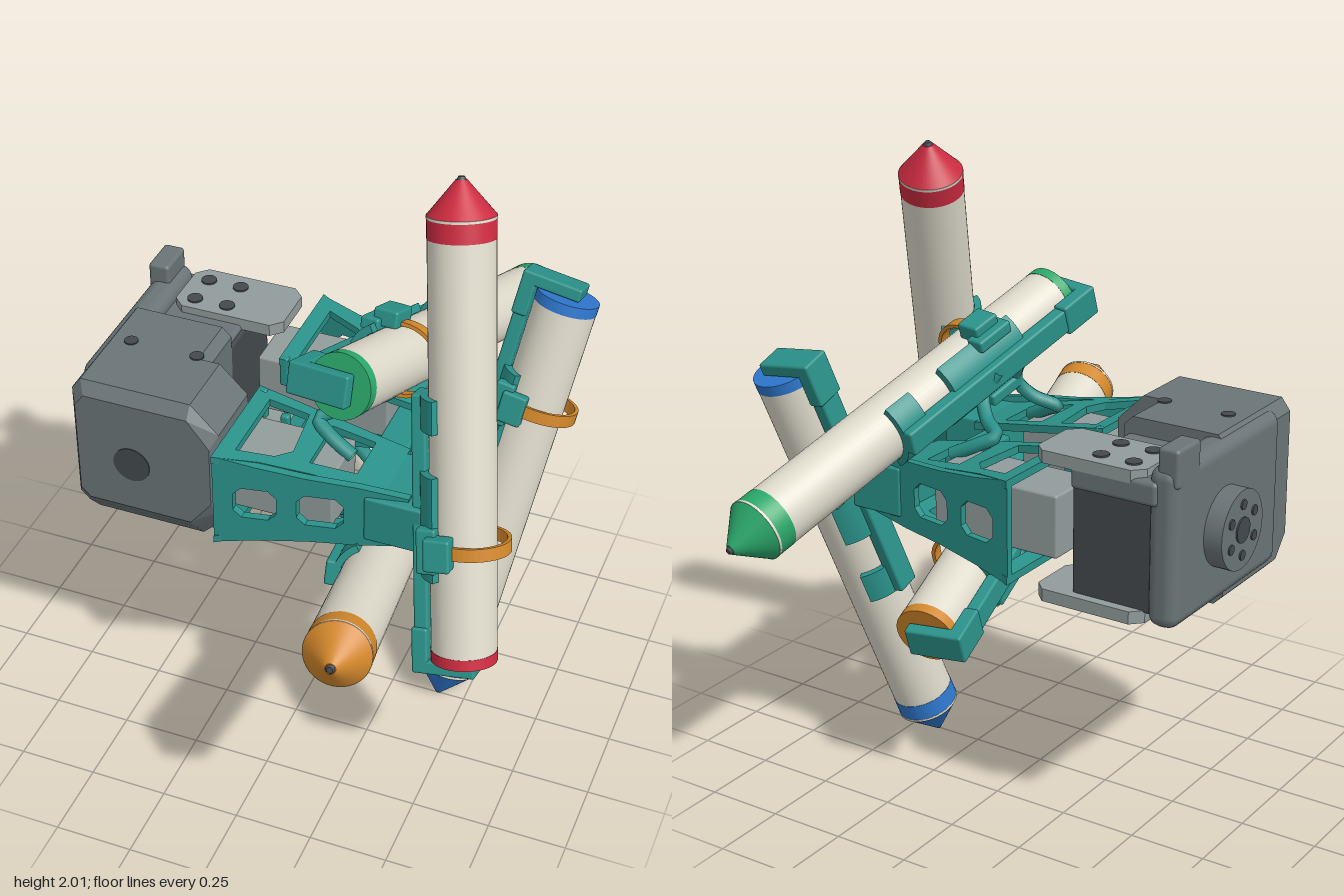
import * as THREE from 'three';
import { ConvexGeometry } from 'three/addons/geometries/ConvexGeometry.js';
import { RoundedBoxGeometry } from 'three/addons/geometries/RoundedBoxGeometry.js';

const mat = (name, color, extra = {}) => Object.assign(new THREE.MeshStandardMaterial({ color, ...extra }), { name });

export function createModel() {
  const M = {
    cream: mat('cream', 0xdedacb), red: mat('red', 0xcc2b40), blue: mat('blue', 0x2f78cf),
    green: mat('green', 0x2aa76a), orange: mat('orange', 0xd2872b), teal: mat('teal', 0x2a928a),
    grey: mat('grey', 0x6a7476), light: mat('lightGrey', 0x919c9b), dark: mat('darkGrey', 0x43494d),
  };
  const model = new THREE.Group();
  model.name = 'markerGripper';

  const add = (parent, name, geo, material, x = 0, y = 0, z = 0) => {
    const m = new THREE.Mesh(geo, material);
    m.name = name;
    m.position.set(x, y, z);
    parent.add(m);
    return m;
  };
  // box given by its limits
  const box = (parent, name, material, [x0, x1], [y0, y1], [z0, z1], r = 0.008) =>
    add(parent, name, new RoundedBoxGeometry(x1 - x0, y1 - y0, z1 - z0, 2, r), material,
      (x0 + x1) / 2, (y0 + y1) / 2, (z0 + z1) / 2);
  const poly = (pts) => pts.map(([a, b]) => new THREE.Vector2(a, b));
  const cyl = (r, h, seg = 40) => new THREE.CylinderGeometry(r, r, h, seg);

  // curved pad hugging the marker, extruded along its axis
  const saddle = (half, r0, r1, length) => {
    const s = new THREE.Shape();
    s.absarc(0, 0, r1, Math.PI - half, Math.PI + half, false);
    s.absarc(0, 0, r0, Math.PI + half, Math.PI - half, true);
    return new THREE.ExtrudeGeometry(s, { depth: length, bevelEnabled: false, curveSegments: 16 }).rotateX(-Math.PI / 2);
  };

  // one marker with its holder; y runs from the blunt end to the tip
  const addMarker = (name, color, turn, side) => {
    const base = new THREE.Vector3(0.41 + 0.22 * side, -0.36, 0.46);
    const tip = new THREE.Vector3(0.41, 1, 0);
    const L = base.distanceTo(tip);
    const Y = tip.clone().sub(base).normalize();
    const X = new THREE.Vector3(1, 0, 0).addScaledVector(Y, -Y.x).normalize();
    const g = new THREE.Group();
    g.name = name;
    g.applyMatrix4(new THREE.Matrix4().makeBasis(X, Y, X.clone().cross(Y)).setPosition(base));

    add(g, 'markerBody', cyl(0.099, L - 0.15), M.cream, 0, 0.03 + (L - 0.15) / 2);
    add(g, 'endPlug', cyl(0.1, 0.035), color, 0, 0.0175);
    add(g, 'capBand', cyl(0.1, 0.058), color, 0, L - 0.146);
    add(g, 'capRing', cyl(0.101, 0.008), M.cream, 0, L - 0.113);
    add(g, 'capCone', new THREE.CylinderGeometry(0.016, 0.1, 0.1, 40), color, 0, L - 0.059);
    add(g, 'nib', new THREE.CylinderGeometry(0.009, 0.016, 0.012, 16), M.dark, 0, L - 0.006);

    // holder: rail, pads, hook over the blunt end, clip tabs
    box(g, 'rail', M.teal, [-0.145, -0.1], [-0.04, 0.82], [-0.04, 0.04]);
    add(g, 'upperPad', saddle(1.05, 0.1, 0.122, 0.1), M.teal, 0, 0.72);
    add(g, 'middlePad', saddle(1.05, 0.1, 0.125, 0.32), M.teal, 0, 0.27);
    box(g, 'endHook', M.teal, [-0.15, 0.045], [-0.045, -0.003], [-0.05, 0.05]);
    box(g, 'hookLip', M.teal, [-0.15, -0.1], [-0.045, 0.1], [-0.05, 0.05]);
    for (const s of [-1, 1]) {
      const z = s < 0 ? [-0.135, -0.095] : [0.095, 0.15];
      box(g, 'clipTab', M.teal, [-0.08, 0.0], [0.32, 0.42], z);
      box(g, 'clipPost', M.teal, [-0.11, -0.05], [0.3, 0.44], [s * 0.1 - 0.02, s * 0.1 + 0.02]);
    }
    // strap
    const ring = new THREE.Shape();
    ring.absellipse(0.015, 0, 0.128, 0.116, 0, Math.PI * 2);
    const hole = new THREE.Path();
    hole.absellipse(0.015, 0, 0.116, 0.104, 0, Math.PI * 2);
    ring.holes.push(hole);
    const strap = new THREE.ExtrudeGeometry(ring, { depth: 0.04, bevelEnabled: false, curveSegments: 24 });
    add(g, 'strap', strap.rotateX(-Math.PI / 2), M.orange, 0, 0.35);

    const pivot = new THREE.Group();
    pivot.name = name + 'Pivot';
    pivot.position.y = 1;
    pivot.rotation.x = turn * Math.PI / 2;
    pivot.add(g);
    model.add(pivot);
  };
  addMarker('redMarker', M.red, 0, 1);
  addMarker('orangeMarker', M.orange, 1, -1);
  addMarker('blueMarker', M.blue, 2, 1);
  addMarker('greenMarker', M.green, 3, -1);

  // panel with windows, sheared so that it tapers along x
  const panel = (outline, windows, slope) => {
    const s = new THREE.Shape(poly(outline));
    s.holes = windows.map((w) => new THREE.Path(poly(w)));
    const geo = new THREE.ExtrudeGeometry(s, { depth: 0.025, bevelEnabled: false });
    const p = geo.attributes.position;
    for (let i = 0; i < p.count; i++) p.setZ(i, p.getZ(i) + slope * (p.getX(i) + 0.18));
    geo.computeVertexNormals();
    return geo;
  };
  const chamfered = (x0, x1, y0, y1, c) => [[x0 + c, y0], [x1 - c, y0], [x1, y0 + c], [x1, y1 - c],
    [x1 - c, y1], [x0 + c, y1], [x0, y1 - c], [x0, y0 + c]];
  const sideOutline = [[-0.18, -0.165], [-0.05, -0.14], [0.1, -0.12], [0.25, -0.11], [0.4, -0.09],
    [0.4, 0.09], [0.25, 0.11], [0.1, 0.12], [-0.05, 0.14], [-0.18, 0.165]];
  const topOutline = [[-0.18, 0.075], [0.32, 0.1], [0.32, 0.33], [0.1, 0.365], [-0.05, 0.4], [-0.18, 0.455]];
  const topWindows = [[[-0.13, 0.12], [0.0, 0.12], [0.02, 0.3], [-0.02, 0.35], [-0.13, 0.385]],
    [[0.08, 0.13], [0.22, 0.13], [0.22, 0.29], [0.08, 0.32]]];

  for (const s of [1, -1]) {
    // fork arm, turned half round x for the rear one
    const fork = new THREE.Group();
    fork.name = s > 0 ? 'frontFork' : 'rearFork';
    fork.position.y = 1;
    fork.rotation.x = s > 0 ? 0 : Math.PI;
    model.add(fork);
    add(fork, 'outerPanel', panel(sideOutline,
      [chamfered(-0.12, 0.01, -0.055, 0.055, 0.025), chamfered(0.07, 0.21, -0.055, 0.055, 0.025)], -0.19), M.teal, 0, 0, 0.425);
    for (const t of [1, -1]) {
      const plate = add(fork, 'forkPlate', panel(topOutline.map(([x, z]) => [x, t * z]),
        topWindows.map((w) => w.map(([x, z]) => [x, t * z])), -0.17), M.teal, 0, t * 0.14, 0);
      plate.rotation.x = t > 0 ? -Math.PI / 2 : Math.PI / 2;
      plate.scale.y = -1;
      // inner edge ribs and curved arm towards the sideways markers
      box(fork, 'innerRib', M.teal, [-0.18, -0.15], [t > 0 ? 0.06 : -0.165, t > 0 ? 0.165 : -0.06], [0.075, 0.1]);
      const arm = new THREE.CatmullRomCurve3([[0.18, 0.1, 0.22], [0.1, 0.14, 0.2], [0.05, 0.17, 0.17],
        [0.11, 0.2, 0.13], [0.15, 0.26, 0.09], [0.12, 0.33, 0.06]].map(([x, y, z]) => new THREE.Vector3(x, t * y, z)));
      add(fork, 'curvedArm', new THREE.TubeGeometry(arm, 24, 0.022, 8), M.teal);
    }
    box(fork, 'forkTip', M.teal, [0.27, 0.45], [-0.08, 0.08], [0.12, 0.37]);
    box(fork, 'innerBlock', M.light, [-0.28, 0.16], [-0.1, 0.1], [0.14, 0.34]);
  }
  box(model, 'crossBar', M.teal, [0.2, 0.3], [0.95, 1.05], [-0.13, 0.13]);

  // wrist housing: convex blocks with sloped edges
  const hull = (name, x1, z0, z1, c) => {
    const pts = [];
    const outline = (z, y0, y1, d) => {
      for (const [x, y] of [[-0.67 + d, y0 + 0.03], [-0.64 + d, y0], [x1 - c, y0], [x1 - d, y0 + c],
        [x1 - d, y1 - c], [x1 - c, y1], [-0.64 + d, y1], [-0.67 + d, y1 - 0.04]]) pts.push(new THREE.Vector3(x, y, z));
    };
    outline(z0, 0.73, 1.27, 0);
    outline(z1 - 0.09, 0.73, 1.27, 0);
    outline(z1 - 0.03, 0.8, 1.27, 0);
    outline(z1, 0.84, 1.23, 0.02);
    add(model, name, new ConvexGeometry(pts), M.grey);
  };
  hull('wristHousing', -0.19, 0.15, 0.4, 0.09);
  hull('wristCore', -0.32, -0.03, 0.24, 0.03);
  box(model, 'backSlab', M.grey, [-0.68, -0.58], [0.76, 1.26], [-0.34, 0.3], 0.04);
  box(model, 'topLug', M.grey, [-0.68, -0.61], [1.2, 1.32], [-0.33, -0.2], 0.012);
  box(model, 'servoTop', M.grey, [-0.62, -0.33], [1.14, 1.215], [-0.35, 0], 0.015);
  box(model, 'servo', M.dark, [-0.6, -0.32], [0.79, 1.2], [-0.32, 0.02], 0.012);
  const frontDisc = add(model, 'frontRecess', cyl(0.06, 0.006), M.dark, -0.47, 1.01, 0.4);
  frontDisc.rotation.x = Math.PI / 2;

  // bracket plates above and below the servo, with screws
  for (const t of [1, -1]) {
    const s = new THREE.Shape(poly(chamfered(-0.57, -0.2, 0.13, 0.35, 0.035)));
    const plate = new THREE.ExtrudeGeometry(s, { depth: 0.04, bevelEnabled: false }).rotateX(-Math.PI / 2);
    add(model, 'bracketPlate', plate, M.light, 0, 1 + t * 0.22 - 0.02, 0);
    for (const x of [-0.51, -0.4]) for (const z of [-0.29, -0.18])
      add(model, 'screw', cyl(0.025, 0.006, 20), M.dark, x, 1 + t * 0.242, z);
    for (const x of [-0.58, -0.36])
      add(model, 'housingScrew', cyl(0.022, 0.006, 20), M.dark, x, 1 + t * 0.271, 0.14);
  }

  // output horn on the outer end
  const horn = new THREE.Group();
  horn.name = 'horn';
  horn.position.set(-0.7, 1, -0.05);
  horn.rotation.z = Math.PI / 2;
  model.add(horn);
  add(horn, 'hornDisc', cyl(0.125, 0.07), M.grey, 0, 0.005);
  add(horn, 'hornHub', cyl(0.04, 0.006, 24), M.dark, 0, 0.042);
  for (let i = 0; i < 6; i++) {
    const a = i * Math.PI / 3;
    add(horn, 'hornHole', cyl(0.016, 0.006, 16), M.dark, 0.08 * Math.cos(a), 0.042, 0.08 * Math.sin(a));
  }

  // plates scaled by -1 keep both faces visible
  M.teal.side = THREE.DoubleSide;
  return model;
}
